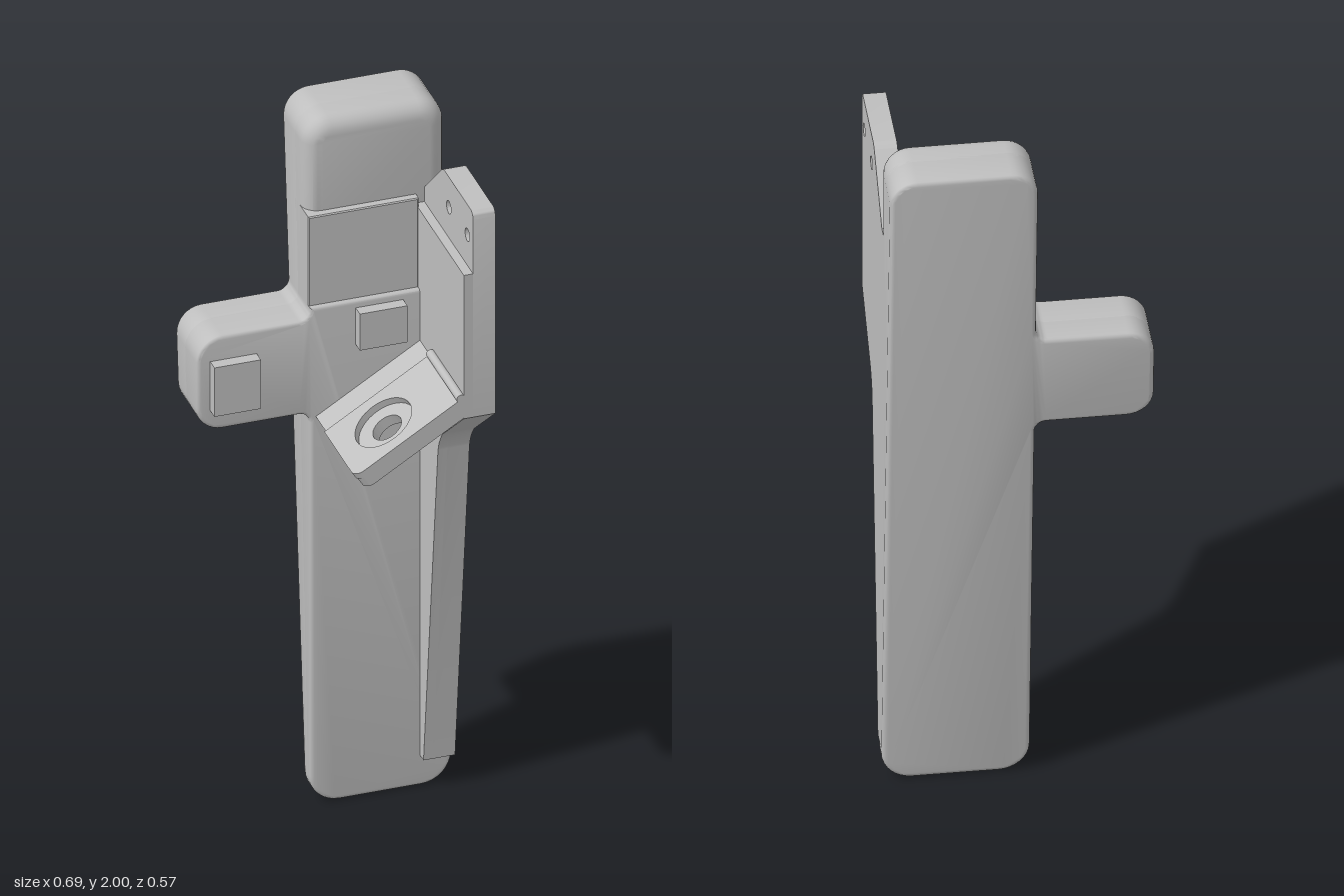
import * as THREE from 'three';
import { toCreasedNormals } from 'three/addons/utils/BufferGeometryUtils.js';

const grey = new THREE.MeshStandardMaterial({ color: 0xbfbfbf });
grey.name = 'plain grey';

// Polygon whose corners [x, y, radius] are rounded
function roundedPath(points, PathType = THREE.Shape) {
  const path = new PathType();
  points.forEach(([x, y, r = 0], i) => {
    const p = new THREE.Vector2(x, y);
    const toward = (q, d) => p.clone().add(new THREE.Vector2(q[0], q[1]).sub(p).setLength(d));
    const prev = points[(i + points.length - 1) % points.length];
    const next = points[(i + 1) % points.length];
    const a = toward(prev, r), b = toward(next, r);
    if (i === 0) path.moveTo(a.x, a.y);
    else path.lineTo(a.x, a.y);
    if (r > 0) {
      const c = a.clone().lerp(p, 0.55), d = b.clone().lerp(p, 0.55);
      path.bezierCurveTo(c.x, c.y, d.x, d.y, b.x, b.y);
    }
  });
  path.closePath();
  return path;
}

function addMesh(parent, name, geometry) {
  const mesh = new THREE.Mesh(geometry, grey);
  mesh.name = name;
  parent.add(mesh);
  return mesh;
}

// Outline extruded between two planes that depend on height
function wedge(points, front, back, bevel, bevelSegments = 3) {
  const geo = new THREE.ExtrudeGeometry(roundedPath(points), {
    depth: 1, steps: 1, curveSegments: 8,
    bevelEnabled: true, bevelSize: bevel, bevelThickness: bevel, bevelOffset: -bevel, bevelSegments,
  });
  const pos = geo.attributes.position;
  for (let i = 0; i < pos.count; i++) {
    const y = pos.getY(i), z = pos.getZ(i);
    pos.setZ(i, z > 0.5 ? front(y) - (1 + bevel - z) : back(y) + z + bevel);
  }
  return toCreasedNormals(geo, 0.6);
}

// Side profile given as [z, y], extruded from x1 down to x0
function sidePlate(points, x0, x1, holes = []) {
  const shape = roundedPath(points);
  for (const [z, y, r] of holes) {
    shape.holes.push(new THREE.Path().absarc(z, y, r, 0, Math.PI * 2, true));
  }
  const geo = new THREE.ExtrudeGeometry(shape, { depth: x1 - x0, bevelEnabled: false, curveSegments: 10 });
  geo.rotateY(-Math.PI / 2).translate(x1, 0, 0);
  return toCreasedNormals(geo, 0.5);
}

// Horizontal layer [x, z] reaching downward, with a round hole
function layer(points, top, thickness, hole) {
  const shape = roundedPath(points);
  shape.holes.push(new THREE.Path().absarc(hole[0], hole[1], hole[2], 0, Math.PI * 2, true));
  const geo = new THREE.ExtrudeGeometry(shape, { depth: thickness, bevelEnabled: false, curveSegments: 20 });
  geo.rotateX(Math.PI / 2).translate(0, top, 0);
  return toCreasedNormals(geo, 0.5);
}

export function createModel() {
  const model = new THREE.Group();
  model.name = 'bracketHandle';

  const L = -0.04, R = 0.34, armX = -0.345;
  const backPlane = (y) => -0.105 - 0.09 * y;
  const coreFront = (y) => -0.06 - 0.055 * y;
  const panelBack = (y) => coreFront(y) - 0.025;
  const arm = [
    [L, 1.44, 0.03], [armX, 1.44, 0.07], [armX, 1.165, 0.07], [L, 1.165, 0.03],
  ];
  const foot = [[L, 0.005, 0.08], [R, 0.005, 0.08]];

  // Tapered body with the side arm
  addMesh(model, 'taperedBody',
    wedge([...foot, [R, 2, 0.07], [L, 2, 0.07], ...arm], coreFront, backPlane, 0.012));
  addMesh(model, 'lowerFrontPanel',
    wedge([...foot, [R, 1.475], [L, 1.475], ...arm], () => -0.058, panelBack, 0.01));
  addMesh(model, 'middleFrontPanel',
    wedge([[L, 1.4], [0.257, 1.4], [0.257, 1.737], [L, 1.737]], () => -0.072, panelBack, 0.003, 1));
  addMesh(model, 'topBlock',
    wedge([[L, 1.6], [R, 1.6], [R, 2, 0.07], [L, 2, 0.07]], () => -0.095, () => -0.235, 0.045, 6));

  // Side plate with two pin holes, thicker on its inner face below the step
  const lowerEdge = [[-0.09, 0.095], [-0.03, 0.095], [0.088, 1.12, 0.05], [0.285, 1.285]];
  addMesh(model, 'sidePlate', sidePlate(
    [...lowerEdge, [0.285, 1.89, 0.02], [0.05, 1.89, 0.015], [-0.11, 1.74], [-0.2, 1.74]],
    0.28, R, [[0.24, 1.8, 0.018], [0.095, 1.8, 0.018]]));
  addMesh(model, 'sidePlateInnerLayer', sidePlate(
    [...lowerEdge, [0.285, 1.71], [-0.1, 1.71], [-0.2, 1.6]], 0.255, 0.28));

  // Sloping lever with a counterbored hole
  const lever = new THREE.Group();
  lever.name = 'lever';
  lever.position.set(0.25, 1.345, 0);
  lever.rotation.z = 0.55;
  model.add(lever);
  addMesh(lever, 'leverTop', layer(
    [[-0.338, 0.045], [0, 0.045], [0, 0.285], [-0.338, 0.285, 0.03]], 0, 0.02, [-0.2, 0.165, 0.083]));
  addMesh(lever, 'leverBase', layer(
    [[-0.335, -0.06], [0.01, -0.06], [0.01, 0.285], [-0.335, 0.285, 0.03]], -0.02, 0.032, [-0.2, 0.165, 0.042]));

  // Hinge rod along the lever's upper edge
  const hinge = addMesh(model, 'hinge', new THREE.CylinderGeometry(0.012, 0.012, 0.24, 16));
  hinge.rotation.x = Math.PI / 2;
  hinge.position.set(0.248, 1.345, 0.165);

  // Raised pads on the front
  for (const [name, x, y, w, h] of [
    ['armPad', -0.247, 1.298, 0.125, 0.145],
    ['bodyPad', 0.146, 1.4, 0.128, 0.108],
  ]) {
    addMesh(model, name, new THREE.BoxGeometry(w, h, 0.045)).position.set(x, y, -0.0475);
  }
  return model;
}
